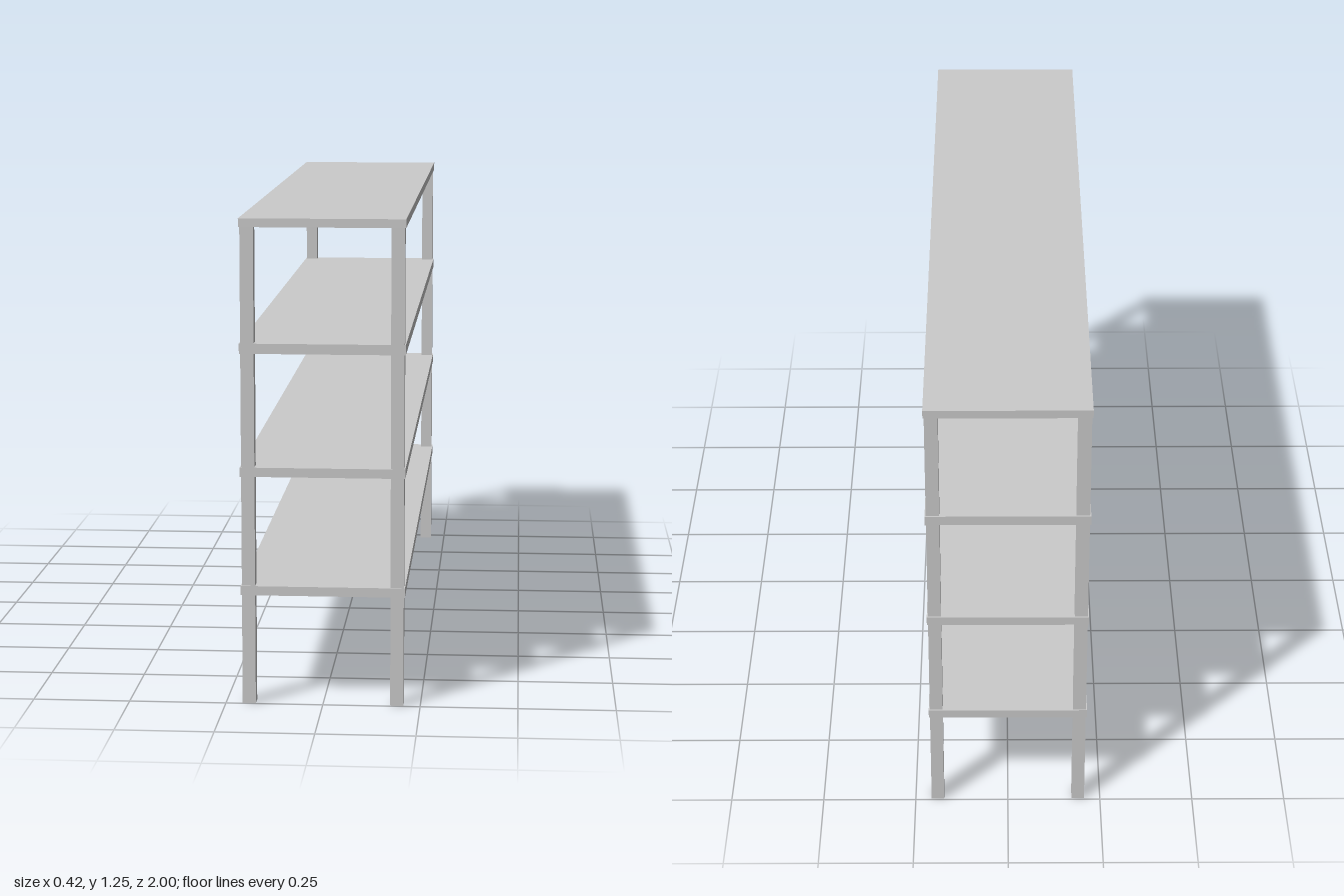
import * as THREE from 'three';

export function createModel() {
  const group = new THREE.Group();
  const material = new THREE.MeshStandardMaterial({ color: 0xcccccc, flatShading: true });
  const tubeMaterial = material.clone();
  tubeMaterial.side = THREE.DoubleSide;

  // four shelf boards: centre height and thickness
  const shelves = [[0.298, 0.024], [0.606, 0.024], [0.922, 0.026], [1.239, 0.022]];
  shelves.forEach(([y, thickness], i) => {
    const shelf = new THREE.Mesh(new THREE.BoxGeometry(0.42, thickness, 2), material);
    shelf.name = i === shelves.length - 1 ? 'topShelf' : `shelf${i + 1}`;
    shelf.position.y = y;
    group.add(shelf);
  });

  // square tube legs, open at the foot and closed above by the top shelf
  const legWidth = 0.034, legHeight = 1.23;
  const legGeometry = new THREE.CylinderGeometry(
    legWidth / Math.SQRT2, legWidth / Math.SQRT2, legHeight, 4, 1, true);
  legGeometry.rotateY(Math.PI / 4);
  for (const x of [-1, 1]) {
    for (const z of [-1, 1]) {
      const leg = new THREE.Mesh(legGeometry, tubeMaterial);
      leg.name = (z > 0 ? 'front' : 'back') + (x > 0 ? 'Left' : 'Right') + 'Leg';
      leg.position.set(x * 0.19, legHeight / 2, z * 0.979);
      group.add(leg);
    }
  }
  return group;
}
